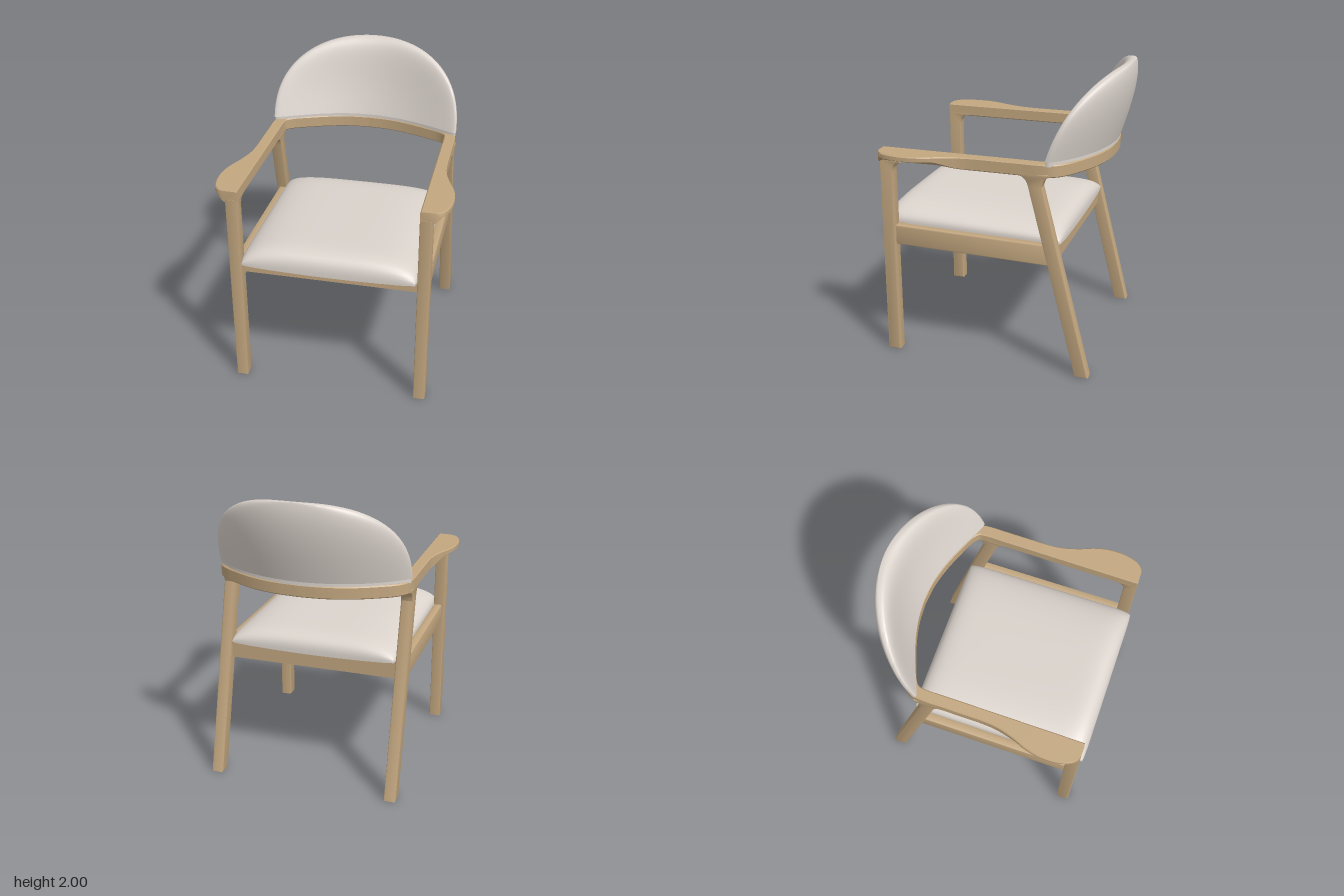
import * as THREE from 'three';
import { toCreasedNormals } from 'three/addons/utils/BufferGeometryUtils.js';

const wood = new THREE.MeshStandardMaterial({ color: 0xc2a67f });
wood.name = 'oak wood';
const fabric = new THREE.MeshStandardMaterial({ color: 0xdbd3cc });
fabric.name = 'light upholstery';

function part(parent, name, geometry, material) {
  const mesh = new THREE.Mesh(geometry, material);
  mesh.name = name;
  parent.add(mesh);
  return mesh;
}

function box(w, h, d, x, y, z) {
  return new THREE.BoxGeometry(w, h, d).translate(x, y, z);
}

// Side profile drawn in (z, y), extruded across x with softened edges
function sideProfile(shape, width, x) {
  const b = 0.008;
  const g = new THREE.ExtrudeGeometry(shape, {
    depth: width - 2 * b, bevelEnabled: true, bevelThickness: b, bevelSize: b,
    bevelOffset: -b, bevelSegments: 2, curveSegments: 8,
  });
  g.translate(0, 0, -(width - 2 * b) / 2).rotateY(-Math.PI / 2).translate(x, 0, 0);
  return toCreasedNormals(g, 0.5);
}

// Subdivided box whose vertices (each axis -1..1) are moved by a rule
function moulded(nx, ny, nz, rule, crease) {
  const g = new THREE.BoxGeometry(2, 2, 2, nx, ny, nz);
  const p = g.attributes.position;
  for (let i = 0; i < p.count; i++) p.setXYZ(i, ...rule(p.getX(i), p.getY(i), p.getZ(i)));
  return toCreasedNormals(g, crease);
}

const ease = (t) => Math.sin(t * Math.PI / 2);
const dome = (t, n) => Math.sqrt(Math.max(0, 1 - Math.abs(t) ** n));

// Domed seat cushion, falling slightly to the rear
function cushionGeometry() {
  return moulded(36, 1, 36, (a, b, c) => {
    const u = ease(a), v = ease(c);
    const x = 0.585 * u * (1 - 0.025 * Math.abs(v) ** 14);
    const z = 0.167 + 0.618 * v * (1 - 0.012 * Math.abs(u) ** 14);
    const fall = 0.02 * (0.68 - z);
    const bottom = 0.92 - 0.015 * (1 - u * u) - fall;
    const top = 0.935 - fall + (0.122 - fall) * dome(u, 4) * dome(v, 12);
    return [x, b > 0 ? top : bottom, z];
  }, 0.8);
}

// Curved backrest shell: rounded outline, steepening from a leaning base to an upright top
const BASE = 1.472, RISE = 0.528;
function backrestGeometry() {
  return moulded(40, 32, 1, (a, b, c) => {
    const u = ease(a), v = ease((b + 1) / 2);
    const x = 0.662 * u * (1 - v ** 2.5) ** 0.4;
    const thick = (t) => 0.008 + 0.059 * dome(t, 4) * dome(v, 6);
    const rear = -0.682 - 0.108 * ease(v) + 0.018 * v ** 8;
    return [x, BASE + RISE * v, rear + thick(0) + 0.55 * x * x + c * thick(u)];
  }, 0.8);
}

// Narrow upholstered band beneath the backrest
function bandGeometry() {
  return moulded(40, 1, 1, (a, b, c) => {
    const u = ease(a), x = 0.657 * u;
    return [x, b > 0 ? BASE : 1.44, -0.615 + 0.55 * x * x + c * (0.006 + 0.056 * dome(u, 4))];
  }, 0.8);
}

// Continuous arm and back rail; each station is [x, z, paddle overhang]
function armRailGeometry() {
  const paddle = new THREE.CatmullRomCurve3([
    [0.76, 0.012], [0.752, 0.035], [0.73, 0.062], [0.69, 0.084], [0.62, 0.101], [0.55, 0.105],
    [0.48, 0.099], [0.4, 0.078], [0.34, 0.053], [0.28, 0.032], [0.22, 0.015], [0.15, 0.004], [0.08, 0],
  ].map(([z, e]) => new THREE.Vector3(e, 0, z)));
  const bend = new THREE.CatmullRomCurve3([
    [0.6225, -0.2], [0.6225, -0.32], [0.611, -0.39], [0.565, -0.441], [0.45, -0.503],
    [0.3, -0.566], [0.15, -0.603], [0, -0.615],
  ].map(([x, z]) => new THREE.Vector3(x, 0, z)));
  const side = [
    ...paddle.getPoints(48).map((p) => [0.6225, p.z, Math.max(0, p.x)]),
    ...bend.getPoints(40).map((p) => [p.x, p.z, 0]),
  ];
  const path = [...side, ...side.slice(0, -1).reverse().map(([x, z, e]) => [-x, z, e])];

  const pos = [], index = [], c = 0.007, top = 1.452, low = 1.368, N = 8;
  path.forEach(([x, z, e], k) => {
    const p = path[Math.max(0, k - 1)], q = path[Math.min(path.length - 1, k + 1)];
    const len = Math.hypot(q[0] - p[0], q[1] - p[1]);
    const ox = -(q[1] - p[1]) / len, oz = (q[0] - p[0]) / len;
    const h = 0.039 + 0.026 * THREE.MathUtils.smoothstep(-z, 0.36, 0.6), o = h + e;
    const rise = 0.045 * THREE.MathUtils.smoothstep(e, 0, 0.07);
    const ring = [
      [-h, top - c], [-h + c, top], [o - c, top], [o, top - c],
      [o, low + rise + c], [h - c + 0.2 * e, low + 0.4 * rise], [-h + c, low], [-h, low + c],
    ];
    ring.forEach(([a, y]) => pos.push(x + ox * a, y, z + oz * a));
    if (k === 0) return;
    for (let j = 0; j < N; j++) {
      const a = (k - 1) * N + j, b = (k - 1) * N + (j + 1) % N;
      index.push(a, b, b + N, a, b + N, a + N);
    }
  });
  const last = (path.length - 1) * N;
  for (let j = 1; j < N - 1; j++) {
    index.push(0, j + 1, j, last, last + j, last + j + 1);
  }
  const g = new THREE.BufferGeometry();
  g.setAttribute('position', new THREE.Float32BufferAttribute(pos, 3));
  g.setIndex(index);
  return toCreasedNormals(g, 0.7);
}

// Upright front leg with a filleted bracket under the arm
function frontLegShape() {
  const s = new THREE.Shape();
  s.moveTo(0.674, 0).lineTo(0.762, 0).lineTo(0.762, 1.39).lineTo(0.615, 1.39).lineTo(0.615, 1.368);
  s.quadraticCurveTo(0.674, 1.368, 0.674, 1.3);
  return s;
}

// Raked rear leg flaring into the arm
function rearLegShape() {
  const s = new THREE.Shape();
  s.moveTo(-0.669, 0).lineTo(-0.578, 0).lineTo(-0.252, 1.3);
  s.quadraticCurveTo(-0.235, 1.368, -0.185, 1.368);
  s.lineTo(-0.185, 1.39).lineTo(-0.385, 1.39).lineTo(-0.385, 1.368);
  s.quadraticCurveTo(-0.355, 1.365, -0.34, 1.3);
  return s;
}

function sideRailShape() {
  const s = new THREE.Shape();
  s.moveTo(-0.41, 0.765).lineTo(0.7, 0.788).lineTo(0.7, 0.924).lineTo(-0.39, 0.902);
  return s;
}

export function createModel() {
  const chair = new THREE.Group();
  chair.name = 'armchair';

  // Legs and side rails, mirrored
  for (const [side, s] of [['left', 1], ['right', -1]]) {
    part(chair, side + 'FrontLeg', sideProfile(frontLegShape(), 0.08, s * 0.6225), wood);
    part(chair, side + 'RearLeg', sideProfile(rearLegShape(), 0.08, s * 0.6225), wood);
    part(chair, side + 'SideRail', sideProfile(sideRailShape(), 0.06, s * 0.612), wood);
  }

  // Cross rails of the seat frame
  part(chair, 'frontRail', box(1.18, 0.115, 0.05, 0, 0.867, 0.655), wood);
  part(chair, 'rearRail', box(1.18, 0.12, 0.045, 0, 0.843, -0.405), wood);

  // Arms and back rail in one sweep
  part(chair, 'armAndBackRail', armRailGeometry(), wood);

  // Upholstery
  part(chair, 'seatCushion', cushionGeometry(), fabric);
  part(chair, 'backrestBand', bandGeometry(), fabric);
  part(chair, 'backrest', backrestGeometry(), fabric);
  return chair;
}
